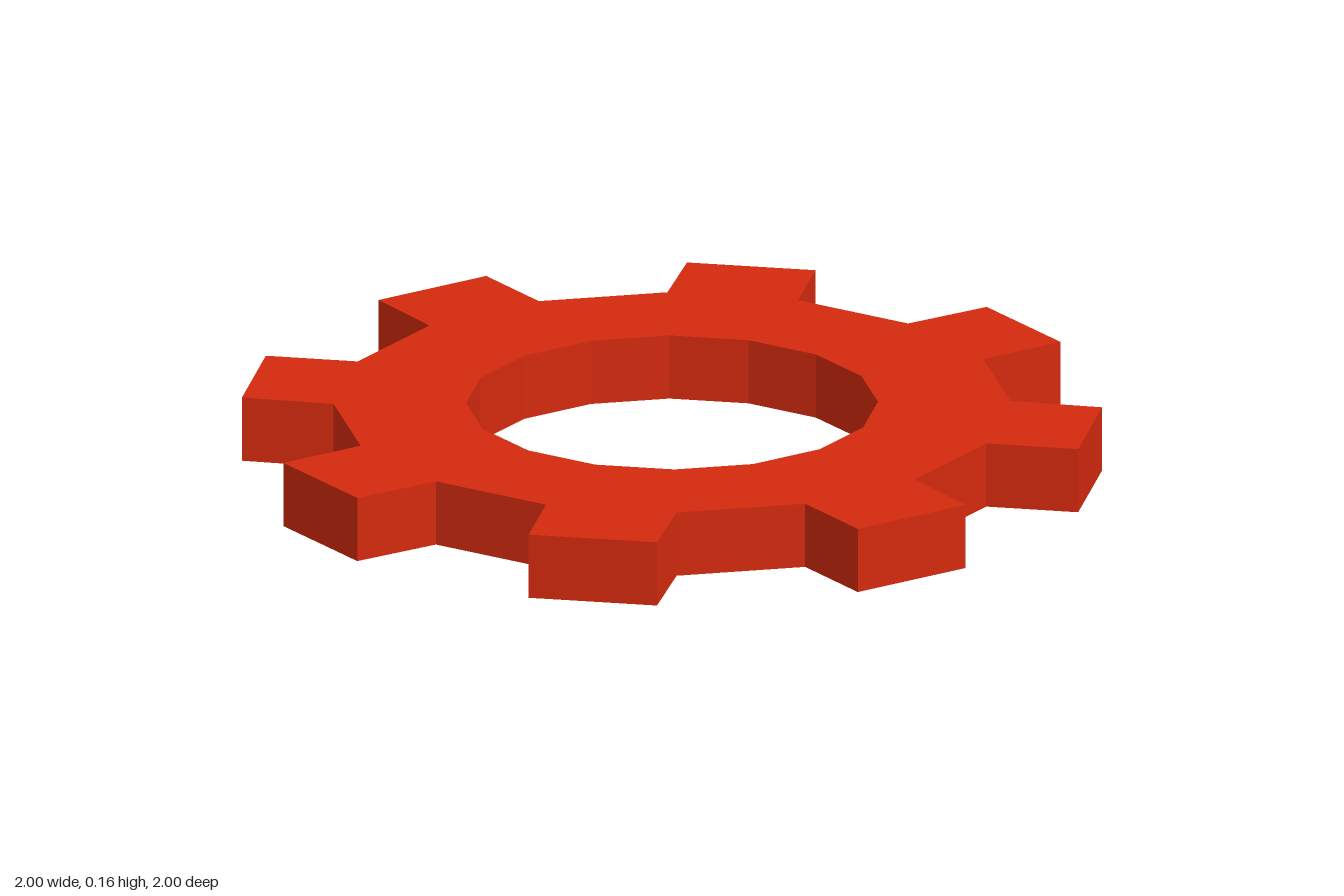
import * as THREE from 'three';

const TEETH = 8, HOLE_SIDES = 16, HOLE_RADIUS = 0.484, THICKNESS = 0.157;

// One tooth pointing along +x, counter-clockwise: root, tip, tip, root
const TOOTH = [[0.78, -0.156], [1, -0.157], [1, 0.15], [0.78, 0.156]];

export function createModel() {
  const group = new THREE.Group();
  group.name = 'gear';

  // Outline: the tooth repeated around the centre
  const outline = [];
  for (let i = 0; i < TEETH; i++) {
    const angle = (i / TEETH) * Math.PI * 2;
    for (const [x, y] of TOOTH) {
      outline.push(new THREE.Vector2(x, y).rotateAround(new THREE.Vector2(), angle));
    }
  }
  const shape = new THREE.Shape(outline);

  // Faceted central hole, flat sides facing the axes
  const hole = [];
  for (let i = 0; i < HOLE_SIDES; i++) {
    const a = -((i + 0.5) / HOLE_SIDES) * Math.PI * 2;
    hole.push(new THREE.Vector2(Math.cos(a), Math.sin(a)).multiplyScalar(HOLE_RADIUS));
  }
  shape.holes.push(new THREE.Path(hole));

  // Lay the extrusion flat on the ground
  const geometry = new THREE.ExtrudeGeometry(shape, { depth: THICKNESS, bevelEnabled: false });
  geometry.rotateX(-Math.PI / 2);

  const gear = new THREE.Mesh(
    geometry,
    new THREE.MeshStandardMaterial({ color: 0xd42a0e, flatShading: true })
  );
  gear.name = 'toothedRing';
  group.add(gear);
  return group;
}
